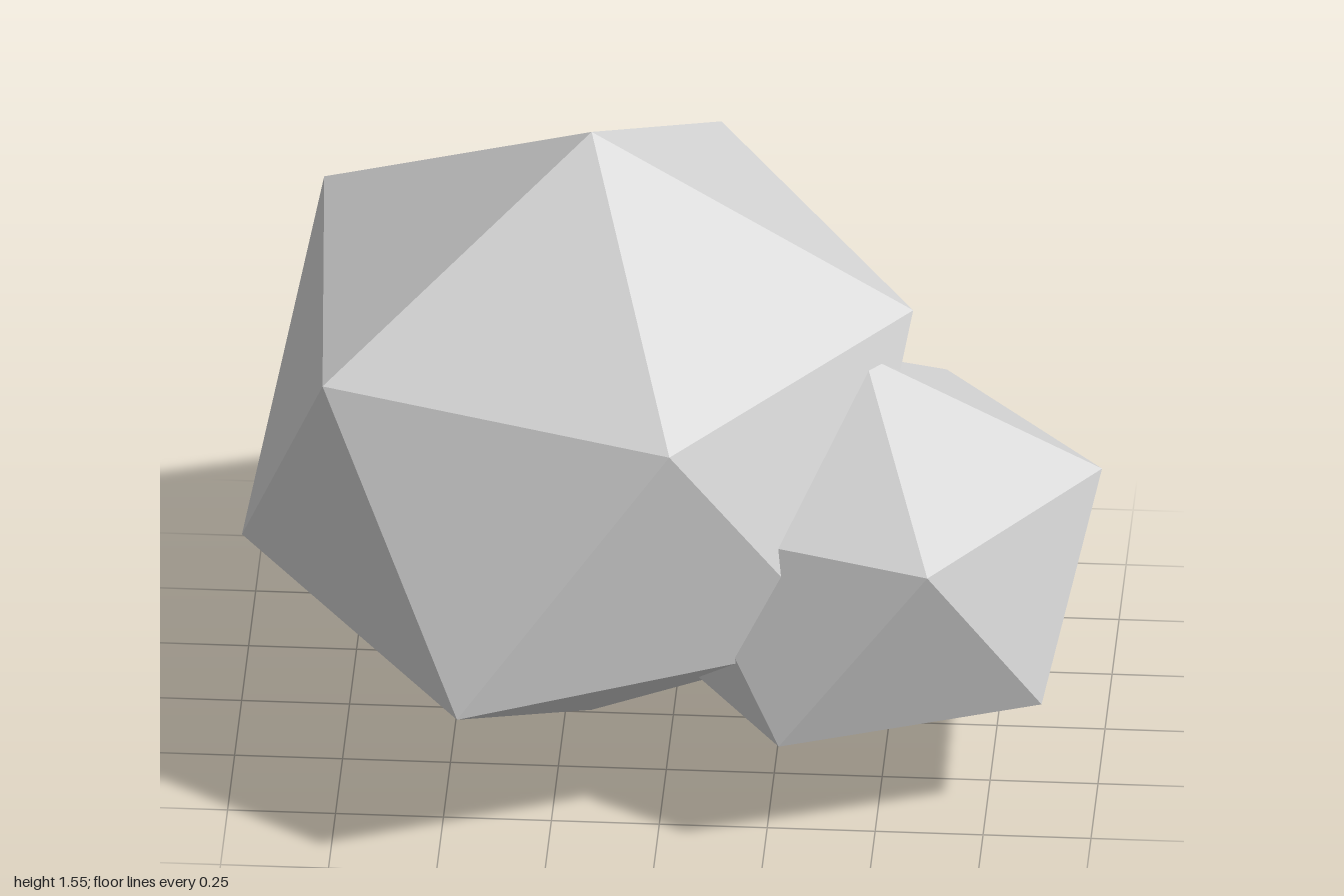
import * as THREE from 'three';

// Irregular twenty-sided boulder: two poles and two staggered rings of five,
// each ring running anticlockwise as seen from above.
function boulder(name, top, upper, lower, bottom, material) {
  const points = [];
  const face = (...corners) => corners.forEach((c) => points.push(...c));
  for (let i = 0; i < 5; i++) {
    const j = (i + 1) % 5;
    face(top, upper[i], upper[j]);
    face(upper[i], lower[i], upper[j]);
    face(lower[i], lower[j], upper[j]);
    face(bottom, lower[j], lower[i]);
  }
  const geometry = new THREE.BufferGeometry();
  geometry.setAttribute('position', new THREE.Float32BufferAttribute(points, 3));
  geometry.computeVertexNormals();
  const mesh = new THREE.Mesh(geometry, material);
  mesh.name = name;
  return mesh;
}

export function createModel() {
  const group = new THREE.Group();
  group.name = 'rocks';
  const stone = new THREE.MeshStandardMaterial({ color: 0xd6d6d6, flatShading: true });
  stone.name = 'pale stone grey';

  // Main rock
  group.add(boulder('largeRock', [-0.19, 1.55, -0.01],
    [[0.555, 1.1, -0.01], [0.06, 1.13, -0.79], [-0.84, 1.13, -0.48], [-0.785, 1.1, 0.425], [0.035, 1.09, 0.68]],
    [[0.435, 0.455, -0.47], [-0.42, 0.46, -0.725], [-1, 0.44, -0.01], [-0.45, 0.43, 0.785], [0.42, 0.475, 0.45]],
    [-0.19, 0, -0.01], stone));

  // Smaller rock sunk into its side
  group.add(boulder('smallRock', [0.45, 1.045, 0.11],
    [[1, 0.76, 0.105], [0.61, 0.735, -0.365], [0.02, 0.75, -0.2], [0.02, 0.75, 0.42], [0.63, 0.765, 0.64]],
    [[0.875, 0.31, -0.195], [0.29, 0.315, -0.365], [-0.08, 0.31, 0.11], [0.285, 0.295, 0.63], [0.88, 0.305, 0.415]],
    [0.455, 0.04, 0.11], stone));

  return group;
}
